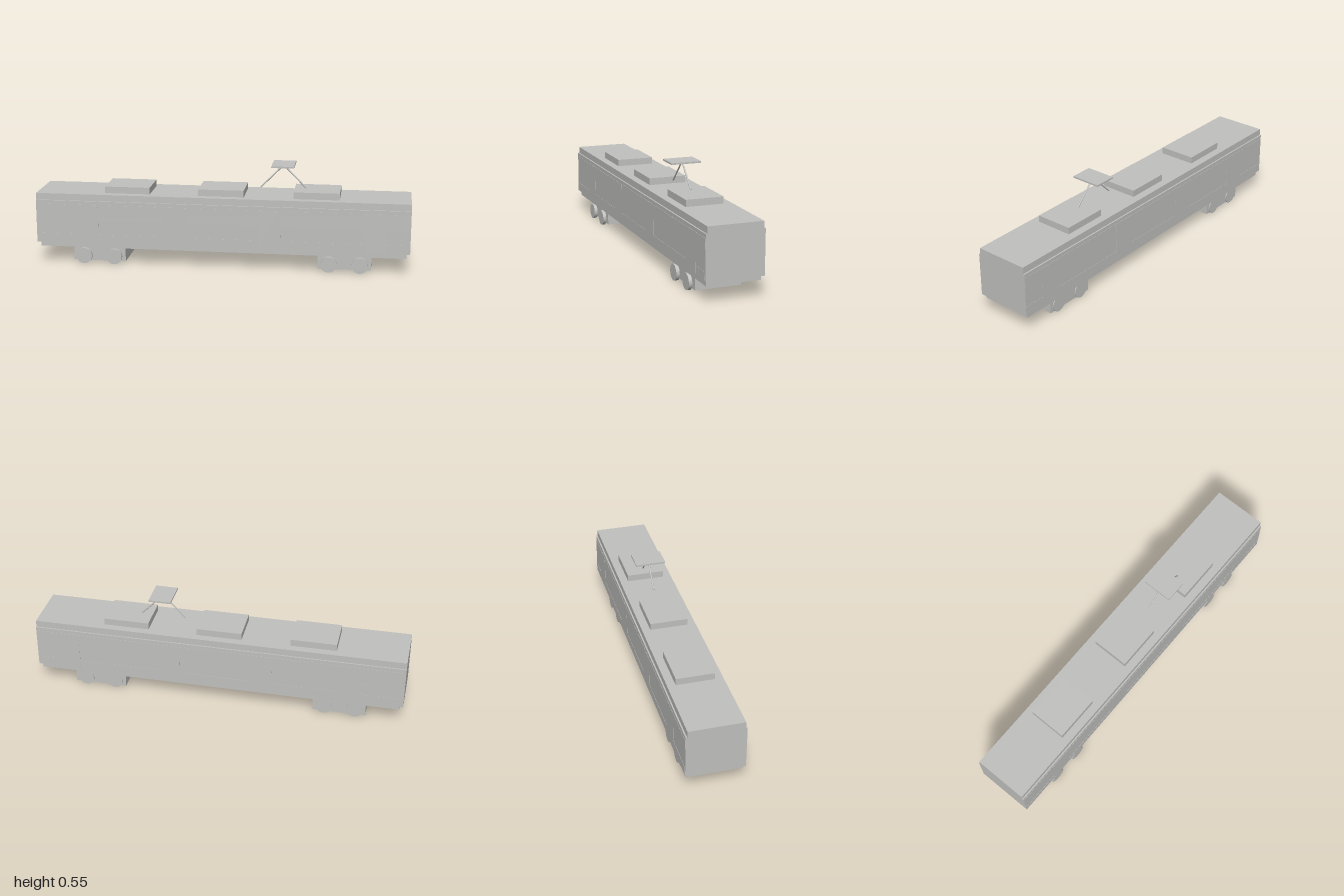
import * as THREE from 'three';

export function createModel() {
  const tram = new THREE.Group();
  tram.name = 'tram';
  const grey = new THREE.MeshStandardMaterial({ color: 0xc0c0be });
  grey.name = 'plain grey';

  function add(name, geometry, x, y, z) {
    const mesh = new THREE.Mesh(geometry, grey);
    mesh.name = name;
    mesh.position.set(x, y, z);
    tram.add(mesh);
    return mesh;
  }
  // Box given by its lower and upper limits on each axis
  const box = (name, x0, x1, y0, y1, z0, z1) =>
    add(name, new THREE.BoxGeometry(x1 - x0, y1 - y0, z1 - z0),
      (x0 + x1) / 2, (y0 + y1) / 2, (z0 + z1) / 2);

  // Car body: skirt, walls and roof
  box('skirt', -0.982, 0.982, 0.09, 0.115, -0.142, 0.142);
  box('body', -1, 1, 0.115, 0.348, -0.1525, 0.1525);
  box('roof', -1, 1, 0.348, 0.384, -0.1445, 0.1445);

  // Thin plates on both sides: lower band, window band and doors
  for (const s of [-1, 1]) {
    const plate = (name, x0, x1, y0, y1, depth) =>
      box(name, x0, x1, y0, y1, s * 0.153 - depth, s * 0.153 + depth);
    plate('lowerBand', -0.995, 0.995, 0.125, 0.165, 0.0008);
    plate('windowBand', -0.995, 0.995, 0.245, 0.328, 0.0008);
    for (const x of [-0.72, -0.24, 0.26, 0.82])
      plate('door', x - 0.06, x + 0.06, 0.125, 0.328, 0.0012);
  }

  // Roof equipment boxes
  for (const x of [-0.509, -0.003, 0.504])
    box('roofUnit', x - 0.122, x + 0.122, 0.384, 0.42, -0.101, 0.101);

  // Bogies with two wheels on each side
  for (const x of [-0.662, 0.658]) {
    box('bogie', x - 0.142, x + 0.142, 0.013, 0.09, -0.122, 0.122);
    for (const dx of [-0.082, 0.082])
      for (const z of [-0.118, 0.137]) {
        const wheel = add('wheel', new THREE.CylinderGeometry(0.0425, 0.0425, 0.018, 32),
          x + dx, 0.0425, z);
        wheel.rotation.x = Math.PI / 2;
      }
  }

  // Pantograph: two slanted arms and a contact plate
  const top = new THREE.Vector3(0.322, 0.545, 0);
  for (const x of [0.2, 0.444]) {
    const foot = new THREE.Vector3(x, 0.421, 0);
    const dir = top.clone().sub(foot);
    const arm = add('pantographArm', new THREE.CylinderGeometry(0.004, 0.004, dir.length(), 12),
      (x + top.x) / 2, (foot.y + top.y) / 2, 0);
    arm.quaternion.setFromUnitVectors(new THREE.Vector3(0, 1, 0), dir.normalize());
  }
  box('pantographHead', 0.262, 0.382, 0.543, 0.552, -0.081, 0.081);

  return tram;
}
